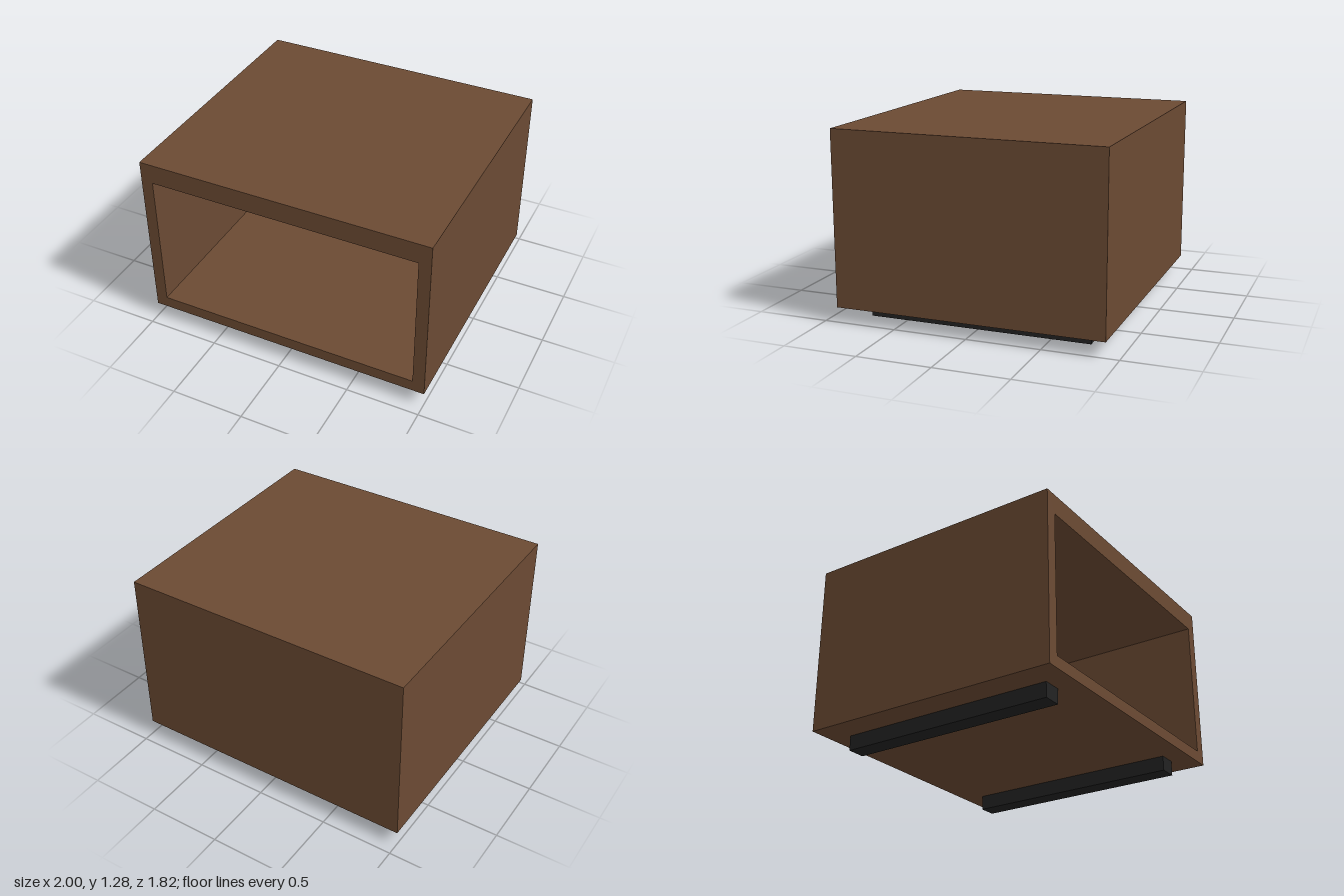
import * as THREE from 'three';

export function createModel() {
  const wood = new THREE.MeshStandardMaterial({ color: 0x6b4a33 });
  wood.name = 'brown wood';
  const black = new THREE.MeshStandardMaterial({ color: 0x222222 });
  black.name = 'black runner';

  const group = new THREE.Group();
  group.name = 'openCabinet';
  const add = (name, geometry, material, x, y, z) => {
    const mesh = new THREE.Mesh(geometry, material);
    mesh.name = name;
    mesh.position.set(x, y, z);
    group.add(mesh);
  };

  const rect = (Type, x, y0, y1) => new Type([
    new THREE.Vector2(-x, y0), new THREE.Vector2(x, y0),
    new THREE.Vector2(x, y1), new THREE.Vector2(-x, y1),
  ]);
  const bottom = 0.102, top = 1.283, halfDepth = 0.912, backThickness = 0.08;

  // Cabinet shell: one solid block with a deep recess opening to the front
  const outline = rect(THREE.Shape, 1, bottom, top);
  outline.holes.push(rect(THREE.Path, 0.918, 0.182, 1.144));
  const shell = new THREE.ExtrudeGeometry(outline, {
    depth: 2 * halfDepth - backThickness, bevelEnabled: false,
  });
  add('cabinetShell', shell, wood, 0, 0, -halfDepth + backThickness);

  // Back panel closing the recess
  add('backPanel', new THREE.BoxGeometry(2, top - bottom, backThickness), wood,
    0, (top + bottom) / 2, -halfDepth + backThickness / 2);

  // Two runners underneath, front to back
  for (const [name, side] of [['leftRunner', 1], ['rightRunner', -1]]) {
    add(name, new THREE.BoxGeometry(0.127, bottom, 1.524), black, side * 0.74, bottom / 2, 0);
  }
  return group;
}
